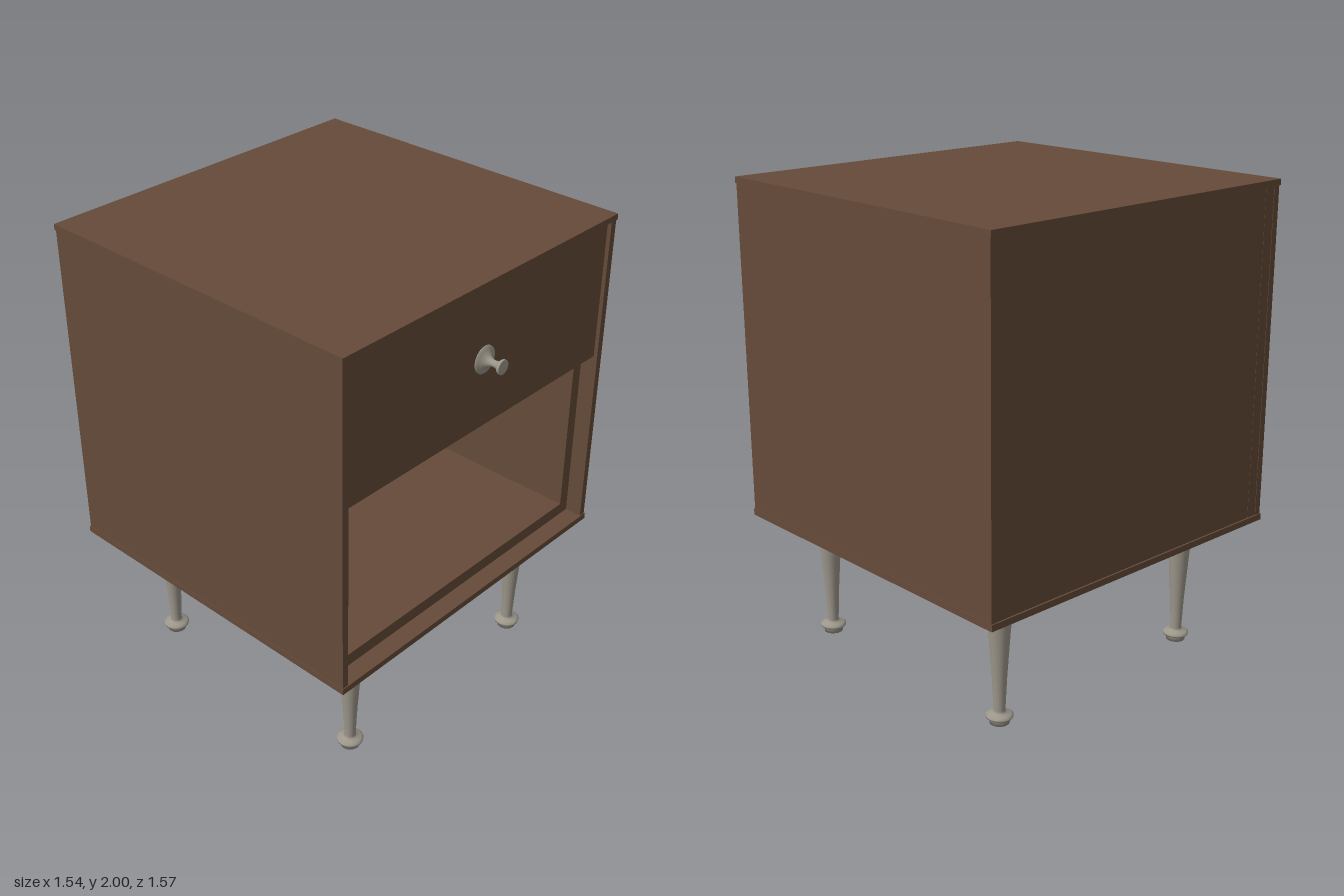
import * as THREE from 'three';

export function createModel() {
  const model = new THREE.Group();
  model.name = 'nightstand';
  const wood = new THREE.MeshStandardMaterial({ name: 'brown wood', color: 0x654a39 });
  const metal = new THREE.MeshStandardMaterial({ name: 'warm grey metal', color: 0x9c968a });

  // Box given by its extents on each axis
  const panel = (name, [x0, x1], [y0, y1], [z0, z1]) => {
    const mesh = new THREE.Mesh(new THREE.BoxGeometry(x1 - x0, y1 - y0, z1 - z0), wood);
    mesh.position.set((x0 + x1) / 2, (y0 + y1) / 2, (z0 + z1) / 2);
    mesh.name = name;
    model.add(mesh);
  };
  const lathe = (name, profile, segments) => {
    const points = profile.map(([r, y]) => new THREE.Vector2(r, y));
    const mesh = new THREE.Mesh(new THREE.LatheGeometry(points, segments), metal);
    mesh.name = name;
    model.add(mesh);
    return mesh;
  };

  // Outer shell: slabs overhang the sides slightly
  panel('topSlab', [-0.772, 0.772], [1.975, 2], [-0.785, 0.718]);
  panel('bottomSlab', [-0.772, 0.772], [0.557, 0.584], [-0.785, 0.718]);
  for (const s of [-1, 1]) {
    const span = (a, b) => (s > 0 ? [a, b] : [-b, -a]);
    panel('sidePanel', span(0.74, 0.769), [0.584, 1.975], [-0.78, 0.714]);
    panel('innerSide', span(0.69, 0.74), [0.584, 1.975], [-0.778, 0.64]);
  }

  // Inner carcass
  panel('innerFloor', [-0.69, 0.69], [0.584, 0.637], [-0.777, 0.64]);
  panel('innerCeiling', [-0.69, 0.69], [1.922, 1.975], [-0.777, 0.64]);
  panel('backPanel', [-0.69, 0.69], [0.637, 1.922], [-0.777, -0.727]);
  panel('shelf', [-0.69, 0.69], [1.385, 1.435], [-0.727, 0.64]);

  // Drawer front and its knob
  panel('drawerFront', [-0.735, 0.735], [1.38, 1.96], [0.64, 0.7]);
  const knob = lathe('drawerKnob', [
    [0.057, 0], [0.057, 0.004], [0.045, 0.008], [0.03, 0.016], [0.02, 0.026], [0.014, 0.04],
    [0.014, 0.058], [0.019, 0.068], [0.028, 0.076], [0.03, 0.08], [0.03, 0.087], [0.028, 0.088], [0, 0.088],
  ], 24);
  knob.rotation.x = Math.PI / 2;
  knob.position.set(0, 1.67, 0.7);

  // Four turned, tapered legs
  const legProfile = [
    [0, 0], [0.04, 0], [0.04, 0.022], [0.042, 0.024], [0.054, 0.026], [0.055, 0.034],
    [0.045, 0.041], [0.028, 0.046], [0.023, 0.056], [0.03, 0.2], [0.044, 0.4], [0.054, 0.5],
    [0.057, 0.52], [0.064, 0.533], [0.076, 0.542], [0.09, 0.547], [0.091, 0.557], [0, 0.557],
  ];
  for (const x of [-0.522, 0.522]) {
    for (const z of [-0.555, 0.522]) {
      lathe('leg', legProfile, 28).position.set(x, 0, z);
    }
  }
  return model;
}
